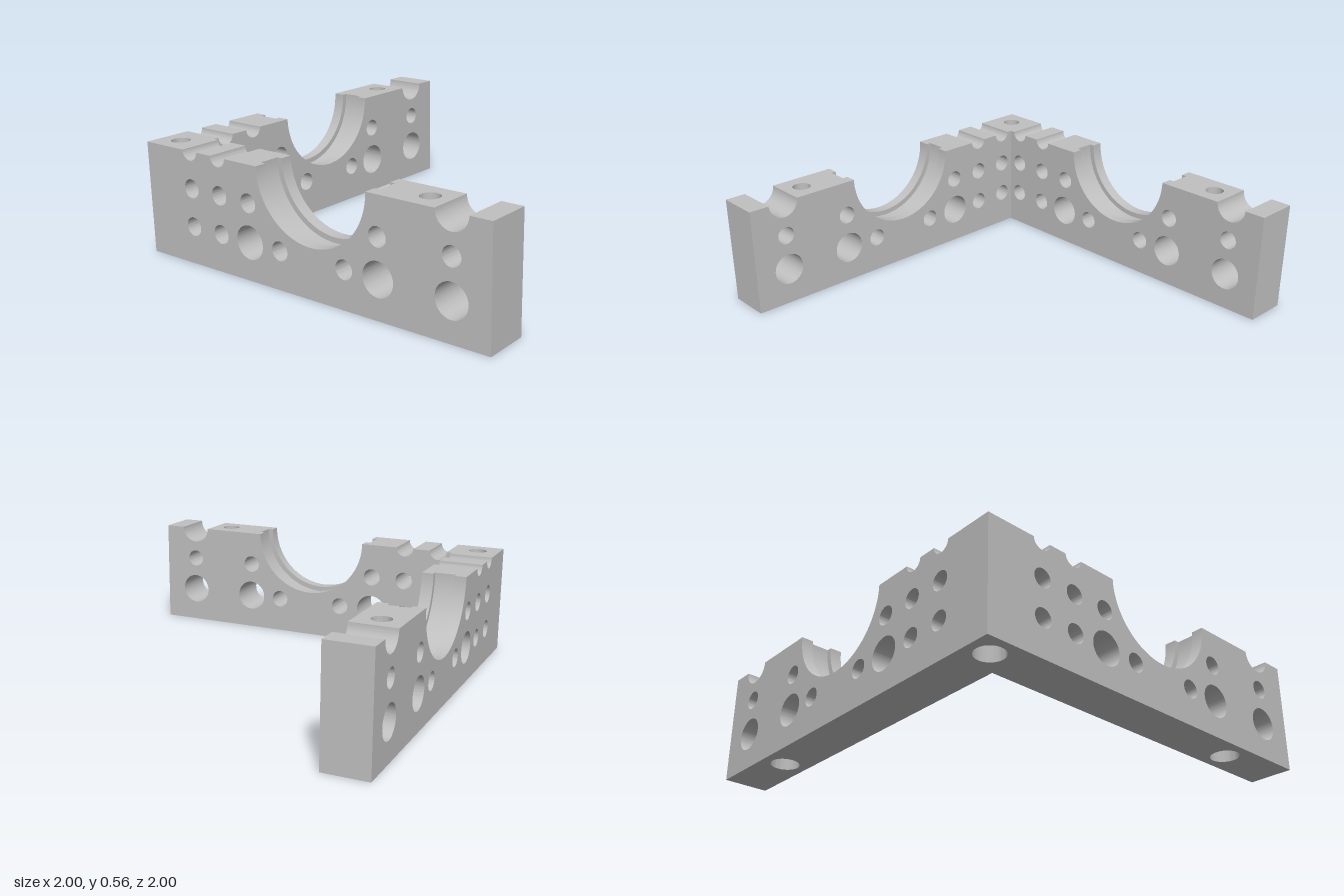
import * as THREE from 'three';
import { mergeGeometries, toCreasedNormals } from 'three/addons/utils/BufferGeometryUtils.js';

const H = 0.565, T = 0.225;               // bar height and thickness
const SMALL = 0.047, BIG = 0.083;         // hole radii
const BORE = 0.07, BORE_DEPTH = 0.15;     // bolt counterbore from below
const CRADLE = { x: 0.055, r: 0.317, groove: 0.344, lip: 0.06 };

// Keep only triangles that are not hidden inside a joint
function keep(geo, hidden) {
  const p = (geo.index ? geo.toNonIndexed() : geo).attributes.position;
  const out = [];
  for (let i = 0; i < p.count; i += 3) {
    const tri = [0, 1, 2].map(k => new THREE.Vector3().fromBufferAttribute(p, i + k));
    if (!hidden(tri)) tri.forEach(v => out.push(v.x, v.y, v.z));
  }
  const g = new THREE.BufferGeometry();
  g.setAttribute('position', new THREE.Float32BufferAttribute(out, 3));
  return g;
}
const onPlane = (tri, axis, value) => tri.every(v => Math.abs(v[axis] - value) < 1e-4);
const extrude = (shape, depth) =>
  new THREE.ExtrudeGeometry(shape, { depth, bevelEnabled: false, curveSegments: 48 });
const circle = (x, y, r) => new THREE.Path().absarc(x, y, r, 0, Math.PI * 2, false);

// Length of bar with cross holes [x, y, r] and half-round notches [x, r] in the top (right to left)
function barPiece(x0, x1, holes, notches, seams) {
  const s = new THREE.Shape();
  s.moveTo(x0, 0).lineTo(x1, 0).lineTo(x1, H);
  for (const [x, r] of notches) {
    s.lineTo(x + r, H);
    s.absarc(x, H, r, 0, -Math.PI, true);
  }
  s.lineTo(x0, H);
  s.holes = holes.map(h => circle(...h));
  const g = extrude(s, T).translate(0, 0, -T / 2);
  return keep(g, tri => seams.some(x => onPlane(tri, 'x', x)));
}

// Block with a vertical counterbored bolt hole; seams are [axis, value] planes left open
function boltBlock(x0, x1, seams) {
  const cx = (x0 + x1) / 2;
  const layer = (r, y0, y1) => {
    const s = new THREE.Shape();
    s.moveTo(x0, -T / 2).lineTo(x1, -T / 2).lineTo(x1, T / 2).lineTo(x0, T / 2);
    s.holes = [circle(cx, 0, r)];
    const g = extrude(s, y1 - y0).rotateX(-Math.PI / 2).translate(0, y0, 0);
    return keep(g, tri => onPlane(tri, 'y', BORE_DEPTH) || seams.some(([a, v]) => onPlane(tri, a, v)));
  };
  const step = new THREE.RingGeometry(SMALL, BORE, 96).rotateX(Math.PI / 2).translate(cx, BORE_DEPTH, 0);
  return [layer(BORE, 0, BORE_DEPTH), layer(SMALL, BORE_DEPTH, H), keep(step, () => false)];
}

// Half-round lip on either side of the cradle groove
function cradleLip(z0) {
  const { x, r, groove, lip } = CRADLE;
  const s = new THREE.Shape();
  s.absarc(x, H, groove, Math.PI, Math.PI * 2, false);
  s.absarc(x, H, r, 0, -Math.PI, true);
  const g = extrude(s, lip).translate(0, 0, z0);
  return keep(g, tri => !onPlane(tri, 'z', tri[0].z) &&
    tri.every(v => Math.hypot(v.x - x, v.y - H) > groove - 1e-3));
}

// One complete wing, running along x from the corner joint
function wingGeometry() {
  const start = -1 + T, b0 = 0.53, b1 = 0.715;
  const holes = [
    [-0.7, 0.19, SMALL], [-0.512, 0.19, SMALL], [-0.324, 0.19, BIG], [-0.135, 0.19, SMALL],
    [0.243, 0.19, SMALL], [0.43, 0.19, BIG],
    [-0.7, 0.38, SMALL], [-0.512, 0.38, SMALL], [-0.324, 0.38, SMALL], [0.43, 0.38, SMALL],
  ];
  return [
    barPiece(start, b0, holes, [[CRADLE.x, CRADLE.groove], [-0.512, SMALL], [-0.7, SMALL]], [start, b0]),
    ...boltBlock(b0, b1, [['x', b0], ['x', b1]]),
    barPiece(b1, 1, [[0.808, 0.19, BIG], [0.808, 0.38, SMALL]], [[0.808, BIG]], [b1]),
    cradleLip(-T / 2),
    cradleLip(T / 2 - CRADLE.lip),
  ];
}

export function createModel() {
  const model = new THREE.Group();
  const grey = new THREE.MeshStandardMaterial({ color: 0xc0c0c0 });
  grey.name = 'light grey';
  const add = (name, parts) => {
    const mesh = new THREE.Mesh(toCreasedNormals(mergeGeometries(parts), 0.5), grey);
    mesh.name = name;
    model.add(mesh);
    return mesh;
  };
  const offset = 1 - T / 2;

  // Front wing, and the same wing turned to run backwards
  add('frontWing', wingGeometry()).position.z = offset;
  const side = add('sideWing', wingGeometry());
  side.rotation.y = Math.PI / 2;
  side.position.x = -offset;

  // Corner block joining the two wings
  add('cornerBlock', boltBlock(-1, -1 + T, [['x', -1 + T], ['z', -T / 2]])).position.z = offset;
  return model;
}
